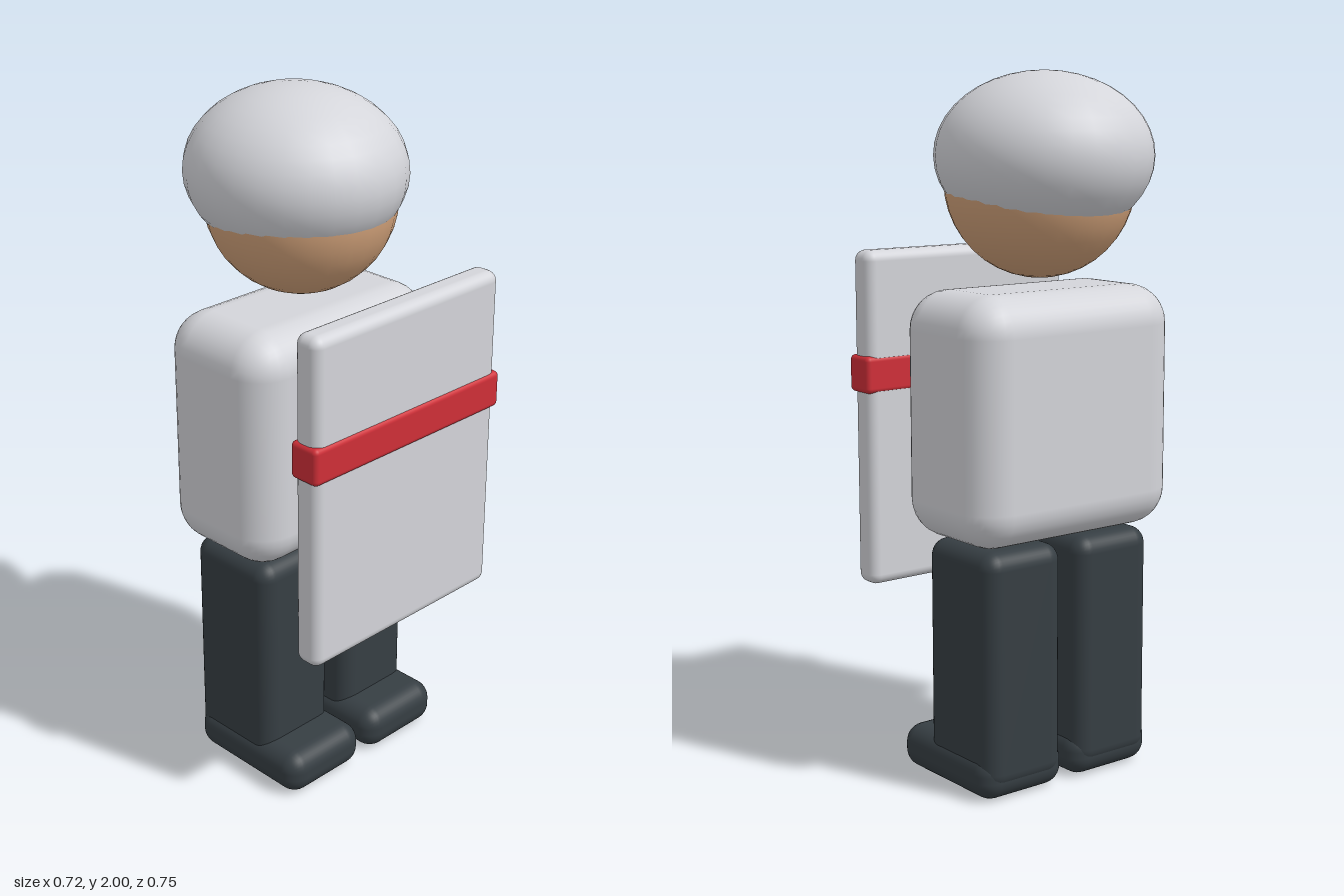
import * as THREE from 'three';
import { RoundedBoxGeometry } from 'three/addons/geometries/RoundedBoxGeometry.js';

const material = (name, color) => {
  const m = new THREE.MeshStandardMaterial({ color });
  m.name = name;
  return m;
};

export function createModel() {
  const model = new THREE.Group();
  model.name = 'figureWithShield';

  const lightGrey = material('lightGrey', 0xd4d5da);
  const skin = material('skin', 0xd2a27a);
  const darkSlate = material('darkSlate', 0x363e43);
  const red = material('red', 0xd02f38);

  const add = (name, geometry, mat, parent = model) => {
    const mesh = new THREE.Mesh(geometry, mat);
    mesh.name = name;
    parent.add(mesh);
    return mesh;
  };

  // Rounded box given by its extents along each axis
  const box = (name, [x0, x1], [y0, y1], [z0, z1], radius, mat, parent) => {
    const geometry = new RoundedBoxGeometry(x1 - x0, y1 - y0, z1 - z0, 4, radius);
    add(name, geometry, mat, parent)
      .position.set((x0 + x1) / 2, (y0 + y1) / 2, (z0 + z1) / 2);
  };

  // Legs and feet, mirrored
  for (const [side, s] of [['left', 1], ['right', -1]]) {
    const limb = new THREE.Group();
    limb.name = `${side}LegGroup`;
    model.add(limb);
    const span = (a, b) => (s > 0 ? [a, b] : [-b, -a]);
    box(`${side}Leg`, span(0.027, 0.292), [0.03, 0.71], [-0.195, 0.106], 0.05, darkSlate, limb);
    box(`${side}Foot`, span(0.014, 0.303), [0, 0.13], [-0.19, 0.23], 0.055, darkSlate, limb);
  }

  // Torso
  box('torso', [-0.352, 0.352], [0.718, 1.41], [-0.245, 0.157], 0.11, lightGrey);

  // Head, with a flattened helmet sunk over it
  add('head', new THREE.SphereGeometry(0.265, 28, 20), skin).position.set(0, 1.7, -0.045);
  const helmet = add('helmet', new THREE.SphereGeometry(1, 28, 20), lightGrey);
  helmet.scale.set(0.298, 0.23, 0.313);
  helmet.position.set(0, 1.77, -0.064);

  // Shield with a band around it
  box('shield', [-0.352, 0.352], [0.535, 1.503], [0.283, 0.369], 0.03, lightGrey);
  box('shieldBand', [-0.361, 0.361], [1.098, 1.205], [0.28, 0.376], 0.015, red);

  return model;
}
